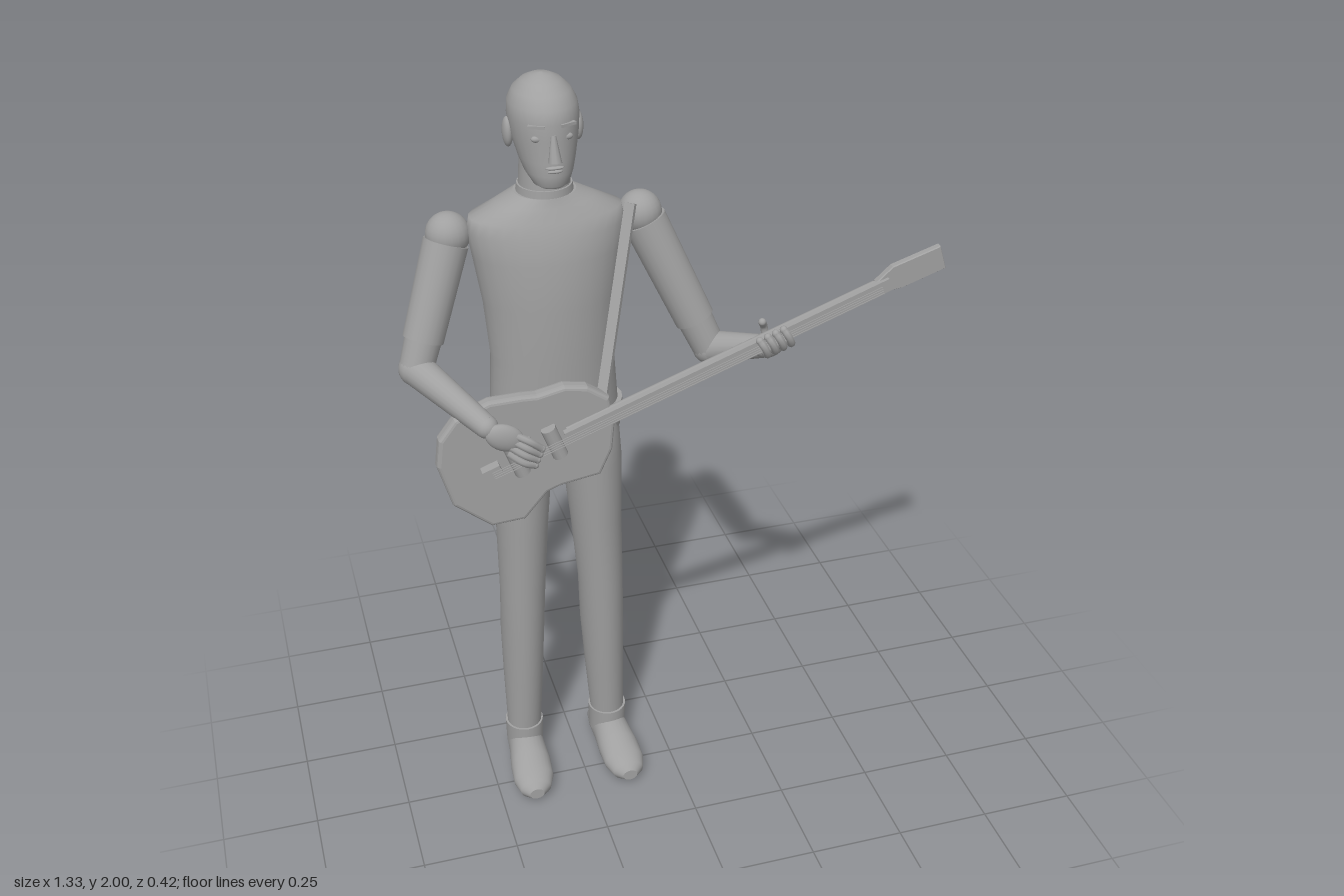
import * as THREE from 'three';

const grey = new THREE.MeshStandardMaterial({ color: 0xa0a0a0 });
grey.name = 'plain grey';
const CX = -0.277; // body centre line
const V = (x, y, z) => new THREE.Vector3(x, y, z);

export function createModel() {
  const root = new THREE.Group();
  root.name = 'guitarPlayer';

  function add(name, geo, parent = root, pos) {
    const m = new THREE.Mesh(geo, grey);
    m.name = name;
    if (pos) m.position.set(...pos);
    parent.add(m);
    return m;
  }

  // Skin over elliptical rings [x, y, z, a, b], stacked along y or z
  function loft(name, rings, axis = 'y', floor = -1, n = 28) {
    const p = [], idx = [];
    const ring = ([x, y, z, a, b]) => {
      for (let i = 0; i < n; i++) {
        const t = i / n * Math.PI * 2, c = a * Math.cos(t), s = b * Math.sin(t);
        if (axis === 'y') p.push(x + c, y, z - s);
        else p.push(x + c, Math.max(floor, y + s), z);
      }
    };
    rings.forEach(ring);
    for (let r = 0; r < rings.length - 1; r++)
      for (let i = 0; i < n; i++) {
        const j = (i + 1) % n, a = r * n + i, b = r * n + j;
        idx.push(a, b, b + n, a, b + n, a + n);
      }
    for (const end of [0, rings.length - 1]) {
      const s = p.length / 3;
      ring(rings[end]);
      p.push(...rings[end].slice(0, 3));
      for (let i = 0; i < n; i++) {
        const j = (i + 1) % n;
        if (end) idx.push(s + i, s + j, s + n);
        else idx.push(s + j, s + i, s + n);
      }
    }
    const g = new THREE.BufferGeometry();
    g.setAttribute('position', new THREE.Float32BufferAttribute(p, 3));
    g.setIndex(idx);
    g.computeVertexNormals();
    return add(name, g);
  }
  // Rings centred on the body: [y, half width, z front, z back]
  const body = (name, rows, x = CX) =>
    loft(name, rows.map(([y, a, f, b]) => [x, y, (f + b) / 2, a, (f - b) / 2]));

  // Tapered cylinder between two points
  function limb(name, a, b, ra, rb, parent = root, sides = 20) {
    const d = b.clone().sub(a);
    const m = add(name, new THREE.CylinderGeometry(rb, ra, d.length(), sides), parent);
    m.position.copy(a).addScaledVector(d, 0.5);
    m.quaternion.setFromUnitVectors(V(0, 1, 0), d.normalize());
    return m;
  }
  const ball = (name, c, r, s = [1, 1, 1]) => {
    const m = add(name, new THREE.SphereGeometry(r, 20, 14), root, c.toArray());
    m.scale.set(...s);
    return m;
  };
  const finger = (name, pts, r = 0.0095) => {
    add(name, new THREE.TubeGeometry(new THREE.CatmullRomCurve3(pts), 10, r, 8));
    ball(name + 'Tip', pts[pts.length - 1], r);
  };

  // Head and face
  body('head', [[1.757, 0.026, 0.012, -0.03], [1.765, 0.042, 0.022, -0.06], [1.79, 0.057, 0.025, -0.115],
    [1.82, 0.067, 0.024, -0.145], [1.87, 0.079, 0.02, -0.175], [1.91, 0.083, 0.021, -0.188],
    [1.94, 0.08, 0.012, -0.188], [1.965, 0.067, -0.01, -0.172], [1.985, 0.046, -0.038, -0.145],
    [1.996, 0.024, -0.064, -0.118], [2.0, 0.004, -0.087, -0.095]]);
  for (const s of [-1, 1]) {
    ball('ear', V(CX + s * 0.083, 1.868, -0.09), 0.036, [0.35, 1, 0.6]);
    ball('eye', V(CX + s * 0.035, 1.878, 0.004), 0.014, [1, 0.6, 0.6]);
    const brow = add('eyebrow', new THREE.BoxGeometry(0.04, 0.007, 0.012), root, [CX + s * 0.036, 1.908, 0.01]);
    brow.rotation.y = s * 0.4;
  }
  const nose = add('nose', new THREE.CylinderGeometry(0.006, 0.016, 0.062, 10), root, [CX, 1.857, 0.024]);
  nose.rotation.x = -0.15;
  ball('upperLip', V(CX, 1.812, 0.022), 0.022, [1, 0.2, 0.4]);
  ball('lowerLip', V(CX, 1.803, 0.022), 0.018, [1, 0.25, 0.4]);

  // Neck, torso, belt and hips
  body('neck', [[1.7, 0.064, -0.03, -0.168], [1.8, 0.058, -0.036, -0.15]]);
  body('collar', [[1.705, 0.07, -0.025, -0.172], [1.735, 0.066, -0.027, -0.166]]);
  body('torso', [[1.11, 0.165, 0.022, -0.195], [1.3, 0.154, 0.03, -0.2], [1.45, 0.165, 0.032, -0.208],
    [1.57, 0.183, 0.025, -0.21], [1.63, 0.192, 0.01, -0.203], [1.665, 0.185, -0.003, -0.195],
    [1.695, 0.12, -0.018, -0.182], [1.717, 0.075, -0.025, -0.172]]);
  body('belt', [[1.115, 0.178, 0.032, -0.203], [1.148, 0.175, 0.032, -0.203]]);
  body('hips', [[0.965, 0.075, -0.02, -0.15], [0.98, 0.105, -0.002, -0.175], [1.02, 0.148, 0.018, -0.195],
    [1.07, 0.168, 0.024, -0.2], [1.13, 0.168, 0.024, -0.198]]);

  // Legs, cuffs and shoes
  for (const s of [-1, 1]) {
    const side = s > 0 ? 'left' : 'right';
    loft(side + 'Leg', [[0.12, 0.12, 0.046, -0.05, -0.145], [0.3, 0.115, 0.053, -0.035, -0.165],
      [0.45, 0.111, 0.058, -0.022, -0.174], [0.6, 0.107, 0.06, -0.014, -0.152],
      [0.8, 0.099, 0.067, -0.002, -0.168], [0.98, 0.092, 0.077, 0.012, -0.185],
      [1.06, 0.088, 0.076, 0.012, -0.18], [1.11, 0.085, 0.07, 0, -0.17]]
      .map(([y, off, a, f, b]) => [CX + s * off, y, (f + b) / 2, a, (f - b) / 2]));
    body(side + 'AnkleCuff', [[0.06, 0.05, -0.045, -0.16], [0.14, 0.052, -0.042, -0.155]], CX + s * 0.12);
    loft(side + 'Shoe', [[-0.173, 0.05, 0.022, 0.025], [-0.16, 0.052, 0.04, 0.046], [-0.12, 0.06, 0.048, 0.058],
      [-0.06, 0.058, 0.05, 0.058], [0, 0.05, 0.056, 0.047], [0.05, 0.04, 0.055, 0.037],
      [0.085, 0.034, 0.042, 0.029], [0.102, 0.03, 0.02, 0.016]]
      .map(([z, y, a, b]) => [CX + s * (0.123 + 0.06 * (z + 0.06)), y, z, a, b]), 'z', 0);
  }

  // Arms: shoulder, sleeve, elbow, forearm
  function arm(side, sh, el, wr) {
    ball(side + 'Shoulder', sh, 0.054);
    const cuff = sh.clone().lerp(el, 0.78);
    limb(side + 'Sleeve', sh.clone().lerp(el, 0.06), cuff, 0.055, 0.05);
    limb(side + 'UpperArm', cuff, el, 0.045, 0.042);
    ball(side + 'Elbow', el, 0.043);
    limb(side + 'Forearm', el, wr, 0.042, 0.028);
    ball(side + 'Wrist', wr, 0.028);
  }
  arm('right', V(-0.51, 1.622, -0.115), V(-0.62, 1.315, -0.045), V(-0.495, 1.25, 0.165));
  arm('left', V(-0.04, 1.622, -0.115), V(0.12, 1.26, -0.05), V(0.235, 1.305, 0.07));

  // Strumming hand
  const palm = ball('rightPalm', V(-0.457, 1.225, 0.185), 0.05, [1, 0.68, 0.36]);
  palm.rotation.z = -0.5;
  for (let i = 0; i < 4; i++)
    finger('rightFinger', [V(-0.43 - i * 0.008, 1.228 - i * 0.014, 0.19),
      V(-0.4 - i * 0.006, 1.212 - i * 0.018, 0.2), V(-0.372 - i * 0.006, 1.185 - i * 0.014, 0.192)]);
  finger('rightThumb', [V(-0.465, 1.23, 0.18), V(-0.43, 1.22, 0.172), V(-0.4, 1.2, 0.165)]);

  // Fretting hand curled round the neck
  const grip = ball('leftPalm', V(0.225, 1.327, 0.098), 0.045, [0.95, 0.7, 0.8]);
  grip.rotation.z = 0.35;
  for (let i = 0; i < 4; i++) {
    const x = 0.197 + i * 0.02, y = 1.352 + (x - 0.2) * 0.362;
    finger('leftFinger', [V(x + 0.01, y - 0.035, 0.11), V(x + 0.005, y - 0.022, 0.155),
      V(x - 0.008, y + 0.004, 0.166), V(x - 0.018, y + 0.02, 0.158)]);
  }
  finger('leftThumb', [V(0.22, 1.335, 0.085), V(0.215, 1.37, 0.085), V(0.205, 1.39, 0.1)]);

  // Guitar body
  const outline = [[-0.612, 1.13], [-0.603, 1.2], [-0.565, 1.25], [-0.48, 1.285], [-0.4, 1.287], [-0.36, 1.285],
    [-0.29, 1.3], [-0.235, 1.29], [-0.185, 1.255], [-0.172, 1.19], [-0.18, 1.11], [-0.21, 1.045],
    [-0.31, 1.03], [-0.35, 1.015], [-0.41, 0.945], [-0.49, 0.94], [-0.58, 1.015]];
  const mid = [-0.39, 1.13];
  const shape = new THREE.Shape(outline.map(([x, y]) =>
    new THREE.Vector2(mid[0] + (x - mid[0]) * 0.955, mid[1] + (y - mid[1]) * 0.945)));
  add('guitarBody', new THREE.ExtrudeGeometry(shape, { depth: 0.016, bevelThickness: 0.012,
    bevelSize: 0.01, bevelSegments: 3 }), root, [0, 0, 0.094]);

  // Neck, head and fittings along the string line
  const g = new THREE.Group();
  g.name = 'guitarNeckAndFittings';
  g.position.set(-0.29, 1.175, 0);
  g.rotation.z = 0.348;
  root.add(g);
  limb('guitarNeck', V(0.0, 0, 0.122), V(0.86, 0, 0.122), 0.017, 0.015, g);
  add('fretboard', new THREE.BoxGeometry(0.87, 0.032, 0.018), g, [0.425, 0, 0.136]);
  const head = new THREE.Shape([[0.83, -0.014], [0.885, -0.028], [1.003, -0.031], [1.006, 0.029],
    [0.88, 0.034], [0.83, 0.014]].map(([x, y]) => new THREE.Vector2(x, y)));
  add('guitarHeadstock', new THREE.ExtrudeGeometry(head, { depth: 0.014, bevelThickness: 0.003,
    bevelSize: 0.002, bevelSegments: 1 }), g, [0, 0, 0.118]);
  for (const x of [-0.14, -0.04])
    limb('pickup', V(x, -0.042, 0.131), V(x, 0.042, 0.131), 0.019, 0.019, g, 12);
  add('bridge', new THREE.BoxGeometry(0.045, 0.034, 0.03), g, [-0.205, 0, 0.134]);
  for (let i = 0; i < 4; i++)
    add('string', new THREE.BoxGeometry(1.04, 0.002, 0.002), g, [0.315, -0.009 + i * 0.006, 0.155]);

  // Shoulder strap
  const a = V(-0.085, 1.68, -0.035), b = V(-0.195, 1.255, 0.092);
  const strap = add('strap', new THREE.BoxGeometry(0.026, 0.012, a.distanceTo(b)));
  strap.position.copy(a).lerp(b, 0.5);
  strap.lookAt(b);
  return root;
}
